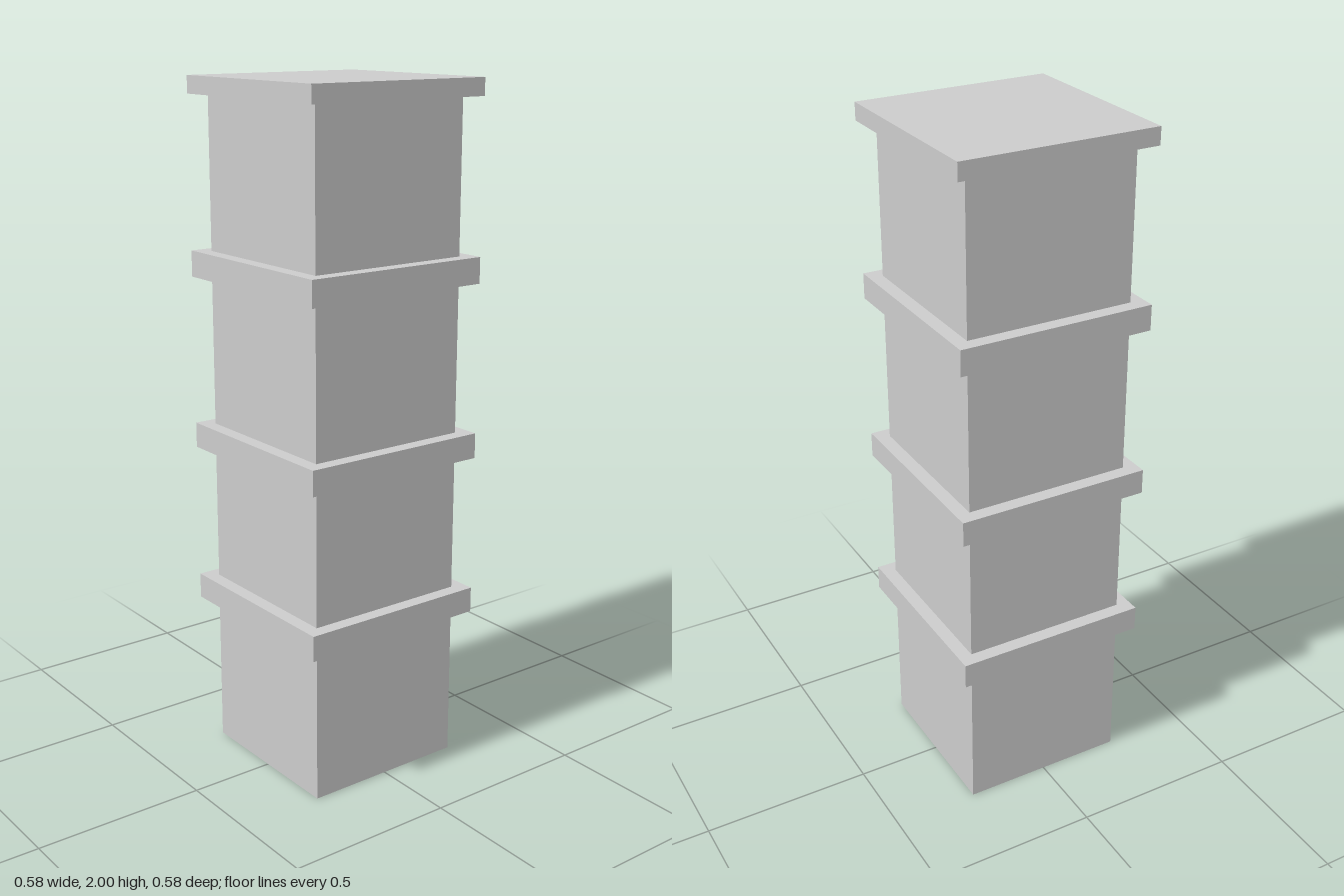
import * as THREE from 'three';

const WALL = 0.248; // half width of the shaft
const RIM = 0.289;  // half width of the bands and cap

// Square shell swept from a [halfWidth, y] profile listed bottom to top
function squareShell(name, profile, material) {
  const points = profile.map(([r, y]) => new THREE.Vector2(r * Math.SQRT2, y));
  const geometry = new THREE.LatheGeometry(points, 4, Math.PI / 4).toNonIndexed();
  geometry.computeVertexNormals();
  const mesh = new THREE.Mesh(geometry, material);
  mesh.name = name;
  return mesh;
}

export function createModel() {
  const group = new THREE.Group();
  group.name = 'squareTower';
  const material = new THREE.MeshStandardMaterial({
    color: 0xcccccc, flatShading: true, side: THREE.DoubleSide,
  });

  // Hollow storeys, each finished by a projecting band; the foot is open
  const bands = [[0.455, 0.53], [0.932, 1.006], [1.44, 1.515]];
  let floor = 0;
  bands.forEach(([low, high], i) => {
    group.add(squareShell(`storey${i + 1}`, [[WALL, floor], [WALL, low]], material));
    group.add(squareShell(`band${i + 1}`,
      [[WALL, low], [RIM, low], [RIM, high], [WALL, high]], material));
    floor = high;
  });

  // Top storey and closed cap slab
  group.add(squareShell('storey4', [[WALL, floor], [WALL, 1.95]], material));
  group.add(squareShell('cap', [[WALL, 1.95], [RIM, 1.95], [RIM, 2], [0, 2]], material));

  return group;
}
